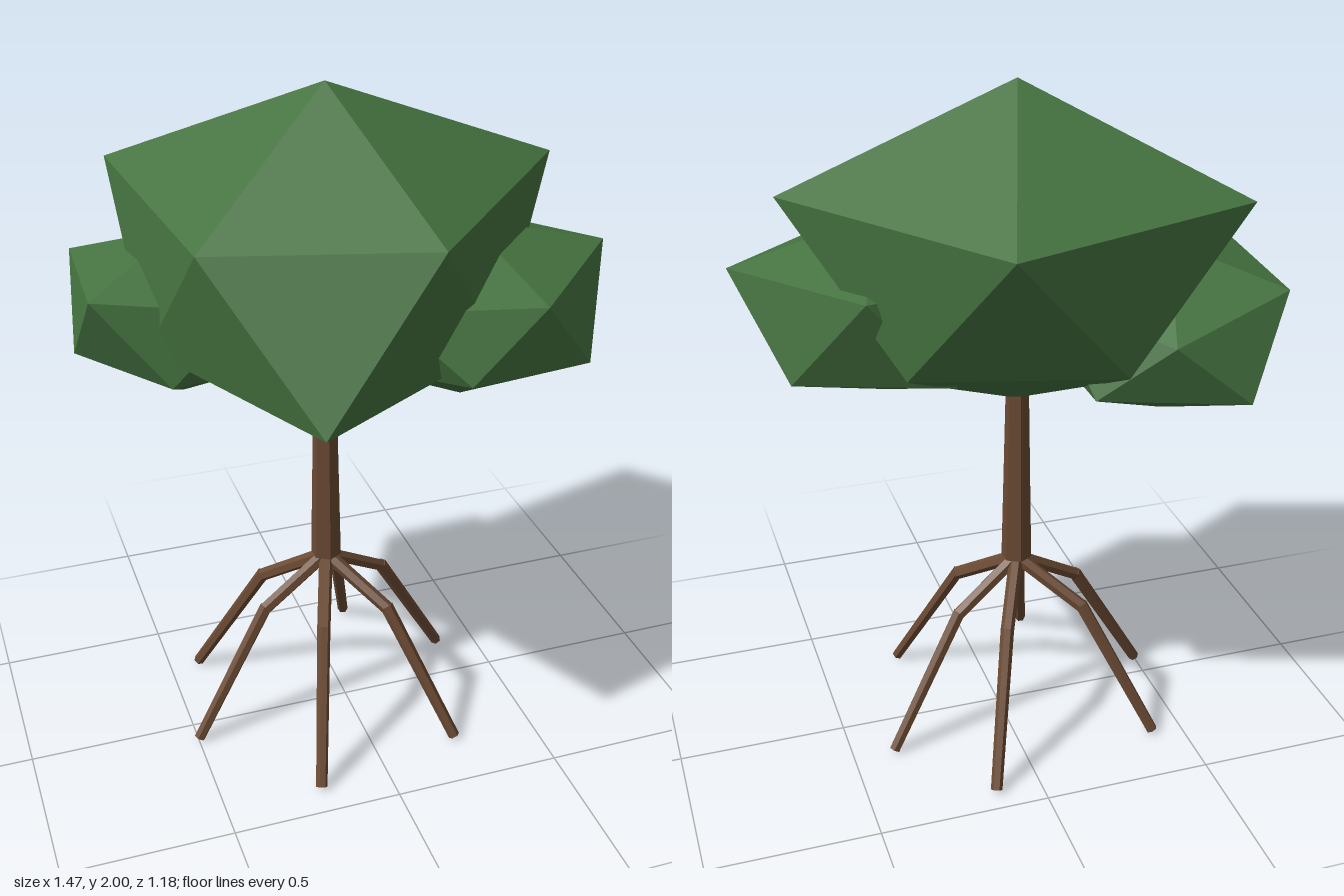
import * as THREE from 'three';

const CX = -0.055, CZ = -0.02; // trunk axis

// Irregular twenty-sided leaf clump: two staggered rings of five [radius, y] points between two tips
function clumpGeometry(x, z, top, bottom, upper, lower) {
  const ring = (list, start) => list.map(([r, y], k) => {
    const a = start + k * Math.PI * 2 / 5;
    return [x + r * Math.cos(a), y, z + r * Math.sin(a)];
  });
  const u = ring(upper, 0), l = ring(lower, Math.PI / 5);
  const t = [x, top, z], b = [x, bottom, z], pos = [];
  for (let k = 0; k < 5; k++) {
    const n = (k + 1) % 5;
    pos.push(...t, ...u[n], ...u[k]);
    pos.push(...u[k], ...u[n], ...l[k]);
    pos.push(...u[n], ...l[n], ...l[k]);
    pos.push(...l[k], ...l[n], ...b);
  }
  const g = new THREE.BufferGeometry();
  g.setAttribute('position', new THREE.Float32BufferAttribute(pos, 3));
  g.computeVertexNormals();
  return g;
}

// Tapered six-sided limb from point a to point b
function limb(a, b, ra, rb, material, name) {
  const dir = b.clone().sub(a);
  const mesh = new THREE.Mesh(new THREE.CylinderGeometry(rb, ra, dir.length(), 6), material);
  mesh.position.copy(a).add(b).multiplyScalar(0.5);
  mesh.quaternion.setFromUnitVectors(new THREE.Vector3(0, 1, 0), dir.normalize());
  mesh.name = name;
  return mesh;
}

export function createModel() {
  const model = new THREE.Group();
  model.name = 'stiltRootTree';
  const bark = new THREE.MeshStandardMaterial({ color: 0x6b4a33, flatShading: true });
  bark.name = 'barkBrown';
  const leaf = new THREE.MeshStandardMaterial({ color: 0x457340, flatShading: true });
  leaf.name = 'leafGreen';

  // Trunk
  model.add(limb(new THREE.Vector3(CX, 0.54, CZ), new THREE.Vector3(CX, 1.3, CZ), 0.046, 0.03, bark, 'trunk'));

  // Bent stilt roots fanning out from the trunk base
  [48, 110, 168, 219, 295, 342].forEach((deg, i) => {
    const a = deg * Math.PI / 180;
    const at = (r, y) => new THREE.Vector3(CX + r * Math.cos(a), y, CZ + r * Math.sin(a));
    const root = new THREE.Group();
    root.name = 'root' + (i + 1);
    root.add(limb(at(0, 0.535), at(0.215, 0.405), 0.021, 0.02, bark, 'upperRoot'));
    root.add(limb(at(0.21, 0.413), at(0.452, 0.01), 0.02, 0.017, bark, 'lowerRoot'));
    model.add(root);
  });

  // Foliage clumps
  const clump = (name, ...args) => {
    const mesh = new THREE.Mesh(clumpGeometry(...args), leaf);
    mesh.name = name;
    model.add(mesh);
  };
  clump('mainFoliage', -0.05, -0.02, 2, 1.07,
    [[0.66, 1.74], [0.515, 1.69], [0.545, 1.69], [0.65, 1.73], [0.6, 1.71]],
    [[0.49, 1.3], [0.64, 1.28], [0.51, 1.3], [0.5, 1.32], [0.48, 1.3]]);
  clump('leftFoliage', 0.31, 0.11, 1.62, 1.09,
    [[0.42, 1.51], [0.34, 1.48], [0.38, 1.48], [0.38, 1.48], [0.39, 1.51]],
    [[0.365, 1.24], [0.36, 1.29], [0.36, 1.24], [0.38, 1.24], [0.37, 1.24]]);
  clump('rightFoliage', -0.425, -0.2, 1.57, 1.07,
    [[0.34, 1.44], [0.34, 1.44], [0.36, 1.475], [0.335, 1.47], [0.34, 1.4]],
    [[0.34, 1.22], [0.31, 1.23], [0.31, 1.235], [0.36, 1.22], [0.34, 1.22]]);

  return model;
}
